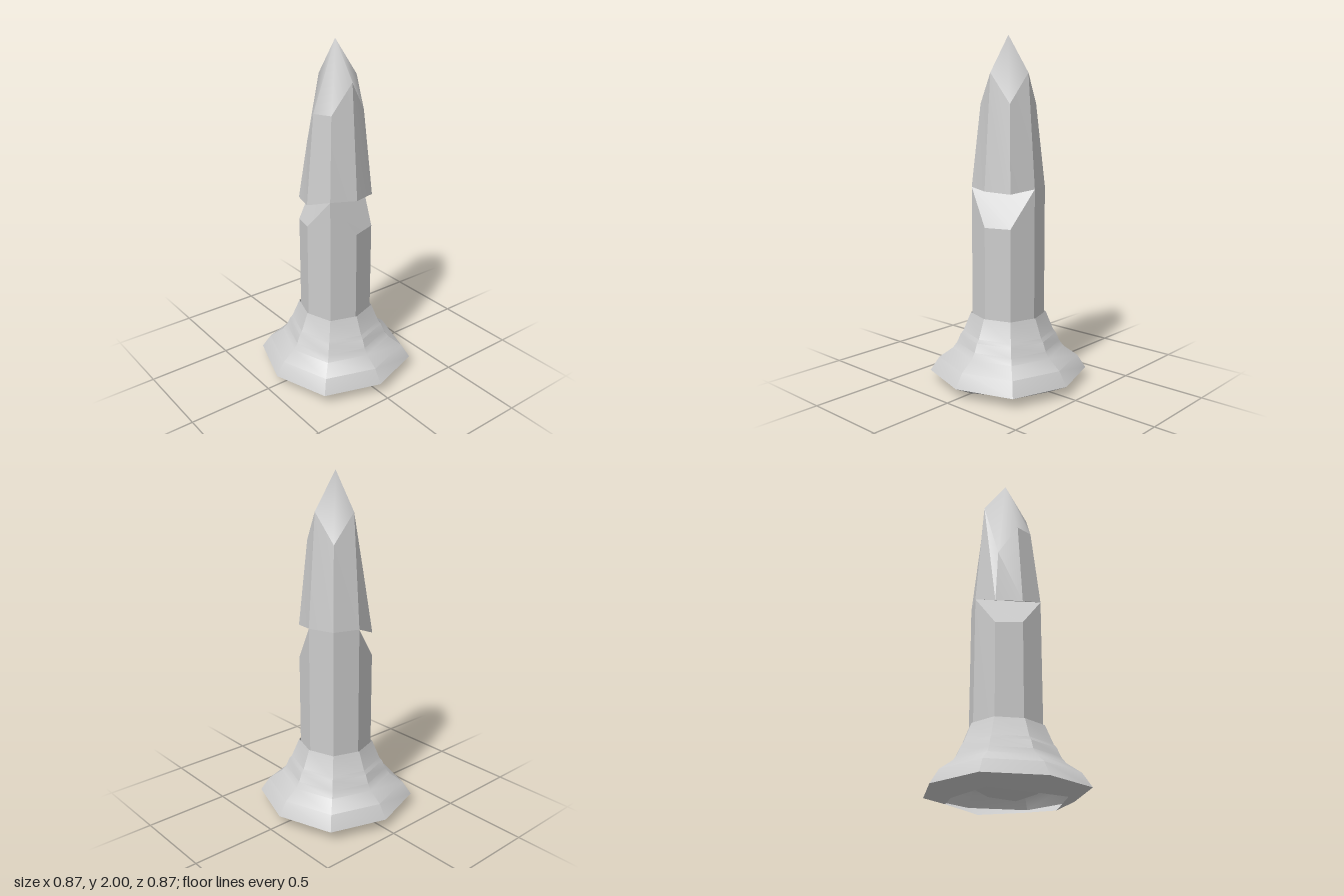
import * as THREE from 'three';
import { toCreasedNormals } from 'three/addons/utils/BufferGeometryUtils.js';

const N = 8;

// Eight-sided ring: even corners lie on the axes, odd corners on the diagonals.
// height is a number or a function of corner index and position.
function ring(r, height) {
  return Array.from({ length: N }, (_, k) => {
    const a = (k * Math.PI) / 4;
    const s = k % 2 ? 0.75 * Math.SQRT2 * r : r;
    const x = Math.cos(a) * s, z = Math.sin(a) * s;
    const y = typeof height === 'function' ? height(k, x, z) : height;
    return new THREE.Vector3(x, y, z);
  });
}

// Triangles between stacked rings, listed from bottom to top
function loft(rings) {
  const tris = [];
  for (let i = 0; i < rings.length - 1; i++) {
    const a = rings[i], b = rings[i + 1];
    for (let k = 0; k < N; k++) {
      const n = (k + 1) % N;
      tris.push(a[k], b[k], b[n], a[k], b[n], a[n]);
    }
  }
  return tris;
}

// Fan of triangles filling a polygon
function fan(points) {
  const tris = [];
  for (let i = 1; i < points.length - 1; i++) tris.push(points[0], points[i], points[i + 1]);
  return tris;
}

function makeMesh(name, tris, crease, side = THREE.FrontSide) {
  const flat = new THREE.BufferGeometry().setFromPoints(tris);
  const geometry = toCreasedNormals(flat, crease);
  const mesh = new THREE.Mesh(geometry, new THREE.MeshStandardMaterial({ color: 0xcccccc, side }));
  mesh.name = name;
  return mesh;
}

export function createModel() {
  const group = new THREE.Group();
  group.name = 'notchedPillar';

  // Hollow flared foot with a stepped collar
  const profile = [
    [0.435, 0.06], [0.385, 0.14], [0.31, 0.195], [0.285, 0.23],
    [0.265, 0.28], [0.25, 0.3], [0.207, 0.41],
  ];
  const footRings = [
    ring(0.315, (k) => (k % 2 ? 0.02 : 0)),
    ...profile.map(([r, y]) => ring(r, y)),
  ];
  group.add(makeMesh('flaredFoot', loft(footRings), 0.6, THREE.DoubleSide));

  // Corner heights of the shaft top, blade bottom and blade top
  const shaftTop = [1.15, 0.935, 0.935, 1.15, 0.97, 0.955, 1.15, 1.15];
  const bladeBottom = [1.15, 1.13, 1.14, 1.15, 1.1, 1.09, 1.15, 1.15];
  const bladeTop = [1.79, 1.62, 1.79, 1.62, 1.615, 1.43, 1.79, 1.62];
  const notches = [[0, 1, 2, 3], [3, 4, 5, 6]];

  // Straight shaft with a slanted underside
  const bottom = ring(0.198, (k, x, z) => 0.11 - 0.17 * (x + z));
  const top = ring(0.198, (k) => shaftTop[k]);
  group.add(makeMesh('shaft', [...loft([bottom, top]), ...fan(bottom)], 0.4));

  // Tapered blade above the notches
  const lower = ring(0.198, (k) => bladeBottom[k]);
  const upper = ring(0.148, (k) => bladeTop[k]);
  group.add(makeMesh('blade', loft([lower, upper]), 0.4));

  // Wedge-shaped notches: sloping floor and overhanging roof
  for (const corners of notches) {
    const floor = fan([...corners].reverse().map((k) => top[k]));
    const roof = fan(corners.map((k) => lower[k]));
    group.add(makeMesh('notchFloor', floor, 0.5), makeMesh('notchRoof', roof, 0.5));
  }

  // Smooth pointed tip
  const apex = new THREE.Vector3(0, 2, 0);
  const tip = upper.flatMap((p, k) => [p, apex, upper[(k + 1) % N]]);
  group.add(makeMesh('pointedTip', tip, Math.PI));

  return group;
}
